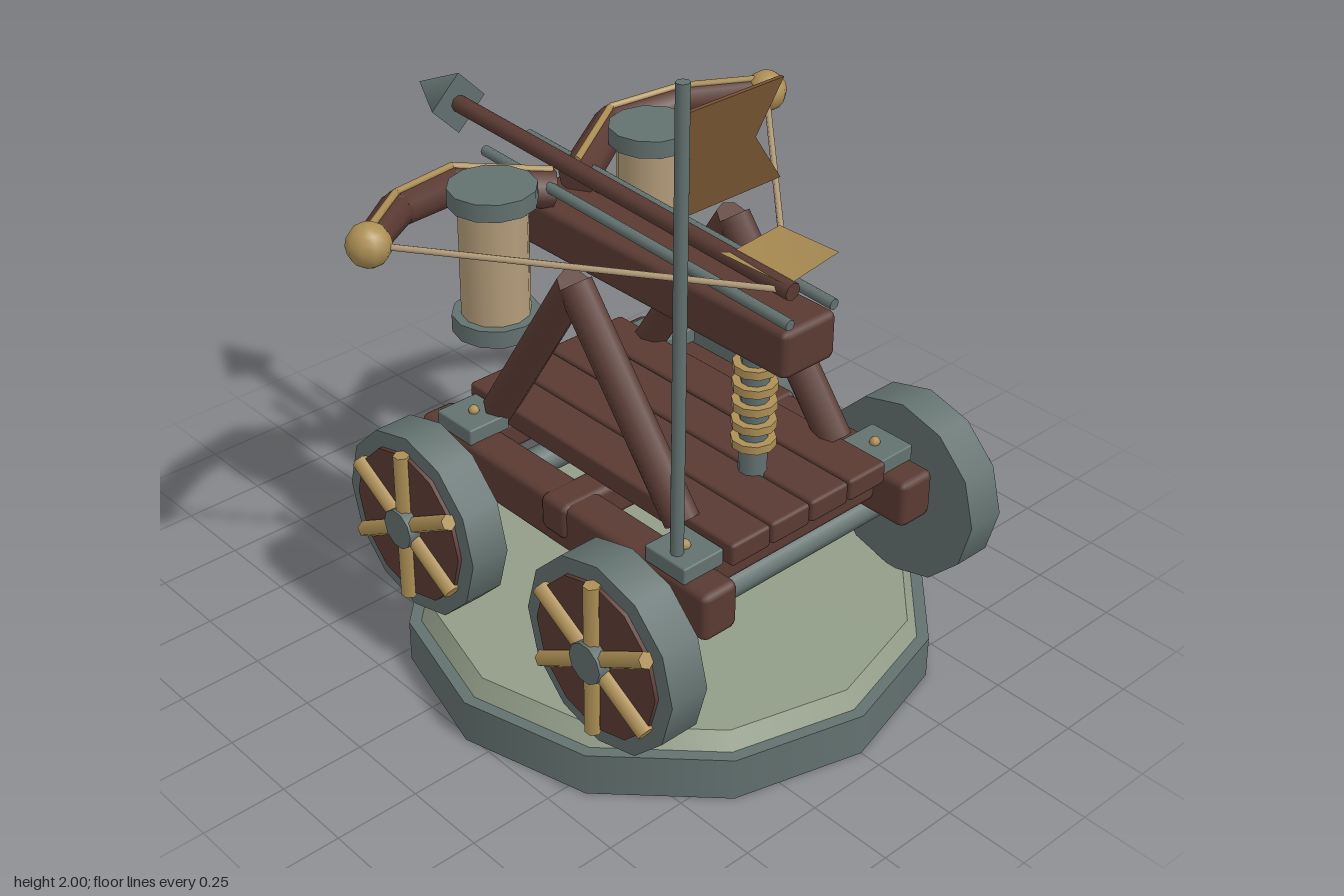
import * as THREE from 'three';
import { RoundedBoxGeometry } from 'three/addons/geometries/RoundedBoxGeometry.js';

const mat = (name, color, side = THREE.FrontSide) => {
  const m = new THREE.MeshStandardMaterial({ color, side });
  m.name = name;
  return m;
};

export function createModel() {
  const wood = mat('dark wood', 0x5a3a33);
  const iron = mat('grey iron', 0x62716f);
  const brass = mat('brass', 0xad8f55, THREE.DoubleSide);
  const rope = mat('rope', 0xb39c7a);
  const moss = mat('pale moss', 0x929d88);
  const cloth = mat('brown cloth', 0x71502f, THREE.DoubleSide);

  const model = new THREE.Group();
  model.name = 'boltThrower';
  const V = (x, y, z) => new THREE.Vector3(x, y, z);
  const UP = V(0, 1, 0);

  const add = (name, geo, material, x = 0, y = 0, z = 0, parent = model) => {
    const mesh = new THREE.Mesh(geo, material);
    mesh.name = name;
    mesh.position.set(x, y, z);
    parent.add(mesh);
    return mesh;
  };
  const beam = (name, material, w, h, d, x, y, z, r = 0.02) =>
    add(name, new RoundedBoxGeometry(w, h, d, 1, r), material, x, y, z);
  // Round bar between two points, r0 at the start and r1 at the end
  const bar = (name, material, a, b, r0, r1 = r0, sides = 8, parent = model) => {
    const dir = b.clone().sub(a);
    const mid = a.clone().add(b).multiplyScalar(0.5);
    const mesh = add(name, new THREE.CylinderGeometry(r1, r0, dir.length(), sides), material, mid.x, mid.y, mid.z, parent);
    mesh.quaternion.setFromUnitVectors(UP, dir.normalize());
    return mesh;
  };

  // Display base
  add('baseRim', new THREE.CylinderGeometry(0.765, 0.765, 0.13, 12), iron, 0, 0.065, 0.17);
  add('baseGround', new THREE.CylinderGeometry(0.7, 0.73, 0.05, 12), moss, 0, 0.155, 0.17);

  // Wheels and axles
  for (const z of [0.57, -0.222]) {
    bar('axle', iron, V(-0.52, 0.455, z), V(0.52, 0.455, z), 0.045);
    for (const s of [-1, 1]) {
      const wheel = new THREE.Group();
      wheel.name = 'wheel';
      wheel.position.set(0, 0.455, z);
      model.add(wheel);
      const disc = (name, m, r, x0, x1, n) => bar(name, m, V(s * x0, 0, 0), V(s * x1, 0, 0), r, r, n, wheel);
      disc('tyre', iron, 0.28, 0.51, 0.63, 12);
      disc('wheelPanel', wood, 0.23, 0.62, 0.642, 12);
      disc('hub', iron, 0.06, 0.62, 0.677, 10);
      for (let i = 0; i < 6; i++) {
        const a = i * Math.PI / 3;
        bar('spoke', brass, V(s * 0.648, 0, 0), V(s * 0.648, Math.cos(a) * 0.235, Math.sin(a) * 0.235), 0.024, 0.024, 6, wheel);
      }
    }
  }

  // Chassis: side rails, cross beams, deck planks
  for (const s of [-1, 1]) beam('sideRail', wood, 0.12, 0.145, 1.18, s * 0.375, 0.57, 0.17);
  beam('crossBeam', wood, 0.89, 0.11, 0.105, 0, 0.592, 0.175);
  for (const z of [0.6, -0.26]) beam('endBeam', wood, 0.66, 0.1, 0.1, 0, 0.592, z);
  for (let i = 0; i < 4; i++) beam('deckPlank', wood, 0.14, 0.068, 1.08, (i - 1.5) * 0.147, 0.676, 0.17, 0.01);

  // Corner plates with rivets
  for (const s of [-1, 1]) for (const z of [0.605, -0.265]) {
    beam('cornerPlate', iron, 0.14, 0.05, 0.15, s * 0.363, 0.664, z, 0.005);
    add('rivet', new THREE.SphereGeometry(0.016, 8, 6), brass, s * 0.36, 0.694, z);
  }

  // Leaning support legs
  for (const s of [-1, 1]) for (const z of [0.52, -0.235])
    bar('supportLeg', wood, V(s * 0.29, 0.69, z), V(s * 0.29, 1.225, 0.1), 0.05);

  // Stock and its sprung post
  beam('stock', wood, 0.19, 0.14, 1.075, 0, 1.175, 0.143);
  bar('post', iron, V(0, 0.7, 0.487), V(0, 1.12, 0.487), 0.04, 0.04, 10);
  for (let i = 0; i < 5; i++)
    add('springRing', new THREE.CylinderGeometry(0.063, 0.063, 0.024, 10), brass, 0, 0.804 + i * 0.058, 0.487);
  for (const s of [-1, 1])
    bar('guideRail', iron, V(s * 0.08, 1.268, 0.68), V(s * 0.08, 1.322, -0.53), 0.016);

  // Rope drums and bow arms
  const armPoints = [V(0.045, 1.285, -0.275), V(0.29, 1.33, -0.41), V(0.52, 1.352, -0.355), V(0.72, 1.375, -0.205)];
  const armRadii = [0.058, 0.055, 0.05, 0.042];
  for (const s of [-1, 1]) {
    const x = s * 0.29, z = -0.235;
    add('ropeDrum', new THREE.CylinderGeometry(0.098, 0.098, 0.36, 12), rope, x, 1.17, z);
    add('lowerCap', new THREE.CylinderGeometry(0.125, 0.125, 0.052, 12), iron, x, 0.98, z);
    add('upperCap', new THREE.CylinderGeometry(0.125, 0.125, 0.052, 12), iron, x, 1.366, z);
    for (const a of [-0.5, 0, 0.5])
      bar('drumCord', brass, V(x + Math.sin(a) * 0.098, 1.0, z - Math.cos(a) * 0.098),
        V(x + Math.sin(a) * 0.098, 1.34, z - Math.cos(a) * 0.098), 0.008, 0.008, 5);

    const p = armPoints.map(q => V(q.x * s, q.y, q.z));
    for (let i = 0; i < 3; i++) {
      bar('bowArm', wood, p[i], p[i + 1], armRadii[i], armRadii[i + 1]);
      bar('bowTrim', brass, p[i].clone().addScaledVector(UP, armRadii[i]),
        p[i + 1].clone().addScaledVector(UP, armRadii[i + 1]), 0.011, 0.011, 6);
      if (i) add('armJoint', new THREE.SphereGeometry(armRadii[i], 8, 6), wood, p[i].x, p[i].y, p[i].z);
    }
    add('bowTip', new THREE.SphereGeometry(0.062, 10, 8), brass, p[3].x, p[3].y, p[3].z);
    bar('bowString', rope, p[3], V(0, 1.302, 0.59), 0.009, 0.009, 6);

    // Swept fletching fin
    const fin = new THREE.BufferGeometry();
    fin.setAttribute('position', new THREE.Float32BufferAttribute([
      0, 1.315, 0.59, s * 0.11, 1.4, 0.66, s * 0.11, 1.395, 0.45, 0, 1.33, 0.385], 3));
    fin.setIndex(s > 0 ? [0, 1, 2, 0, 2, 3] : [0, 2, 1, 0, 3, 2]);
    fin.computeVertexNormals();
    add('fletching', fin, brass);
  }

  // Bolt
  bar('boltShaft', wood, V(0, 1.305, 0.61), V(0, 1.372, -0.8), 0.026);
  bar('boltHead', iron, V(0, 1.37, -0.75), V(0, 1.378, -0.937), 0.097, 0, 4);

  // Flag on its pole
  bar('flagPole', iron, V(-0.395, 0.68, 0.612), V(-0.395, 2.0, 0.612), 0.018);
  const shape = new THREE.Shape([[-0.385, 1.655], [-0.07, 1.655], [-0.16, 1.79], [-0.07, 1.92], [-0.385, 1.92]]
    .map(([x, y]) => new THREE.Vector2(x, y)));
  add('flag', new THREE.ExtrudeGeometry(shape, { depth: 0.012, bevelEnabled: false }), cloth, 0, 0, 0.606);
  for (const x of [-0.29, -0.215])
    add('flagStripe', new THREE.BoxGeometry(0.022, 0.17, 0.009), brass, x, 1.787, 0.603);

  return model;
}
